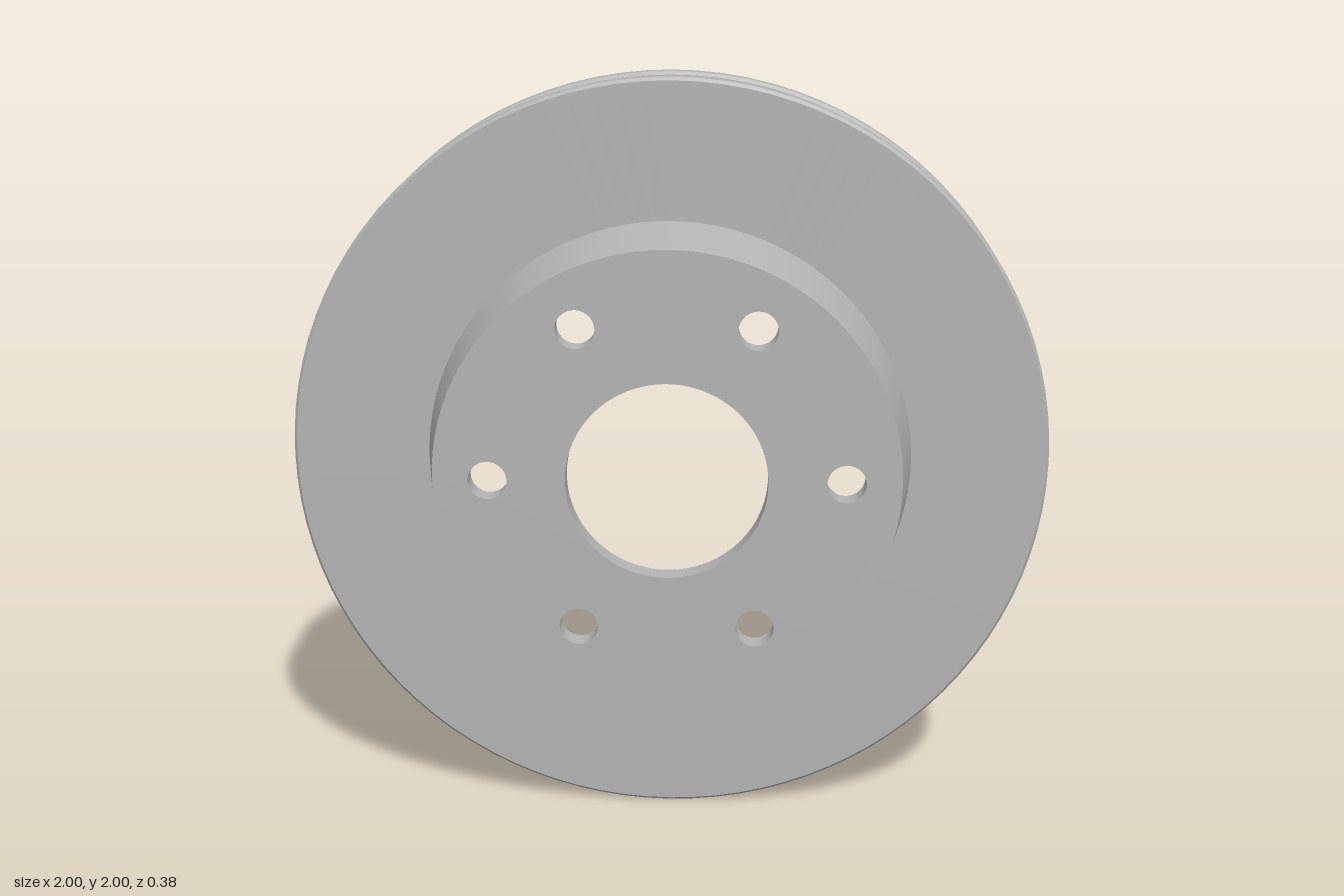
import * as THREE from 'three';
import { toCreasedNormals } from 'three/addons/utils/BufferGeometryUtils.js';

const SEG = 96;
const CREASE = 0.6;

// Closed ring turned around the z axis; points are [radius, z], counter-clockwise
function turned(points) {
  const profile = [...points, points[0]].map(([r, z]) => new THREE.Vector2(r, z));
  const geometry = new THREE.LatheGeometry(profile, SEG);
  geometry.rotateX(Math.PI / 2);
  return toCreasedNormals(geometry, CREASE);
}

export function createModel() {
  const model = new THREE.Group();
  model.name = 'ventilatedBrakeDisc';
  const disc = new THREE.Group();
  disc.name = 'disc';
  disc.position.y = 1;
  model.add(disc);

  const castIron = new THREE.MeshStandardMaterial({ color: 0xb4b4b4 });
  castIron.name = 'cast iron grey';

  const add = (geometry, name, parent = disc) => {
    const mesh = new THREE.Mesh(geometry, castIron);
    mesh.name = name;
    parent.add(mesh);
    return mesh;
  };

  // Front friction plate running into the tapered hat wall
  add(turned([
    [0.6, -0.058], [0.992, -0.058], [1, -0.05], [1, -0.011], [0.992, -0.003],
    [0.638, -0.003], [0.602, 0.193], [0.565, 0.193], [0.565, 0.133],
  ]), 'frontPlateAndHatWall');

  // Rear friction plate with softened edges
  add(turned([
    [0.648, -0.192], [0.992, -0.192], [1, -0.184], [1, -0.145], [0.992, -0.137],
    [0.648, -0.137], [0.64, -0.145], [0.64, -0.184],
  ]), 'rearPlate');

  // Hat face with centre bore and six bolt holes
  const face = new THREE.Shape().absarc(0, 0, 0.565, 0, Math.PI * 2);
  const drill = (x, y, r) =>
    face.holes.push(new THREE.Path().absarc(x, y, r, 0, Math.PI * 2, true));
  drill(0, 0, 0.26);
  for (let i = 0; i < 6; i++) {
    const a = (i * Math.PI) / 3;
    drill(0.46 * Math.cos(a), 0.46 * Math.sin(a), 0.05);
  }
  const hatFace = new THREE.ExtrudeGeometry(face, {
    depth: 0.06, bevelEnabled: false, curveSegments: SEG,
  });
  hatFace.translate(0, 0, 0.133);
  add(toCreasedNormals(hatFace, CREASE), 'hatFace');

  // Radial cooling vanes between the plates
  const vanes = new THREE.Group();
  vanes.name = 'coolingVanes';
  disc.add(vanes);
  const vane = new THREE.BoxGeometry(0.343, 0.026, 0.083);
  vane.translate(0.8165, 0, -0.0975);
  for (let i = 0; i < 36; i++) {
    add(vane, 'vane', vanes).rotation.z = (i * Math.PI) / 18;
  }

  return model;
}
